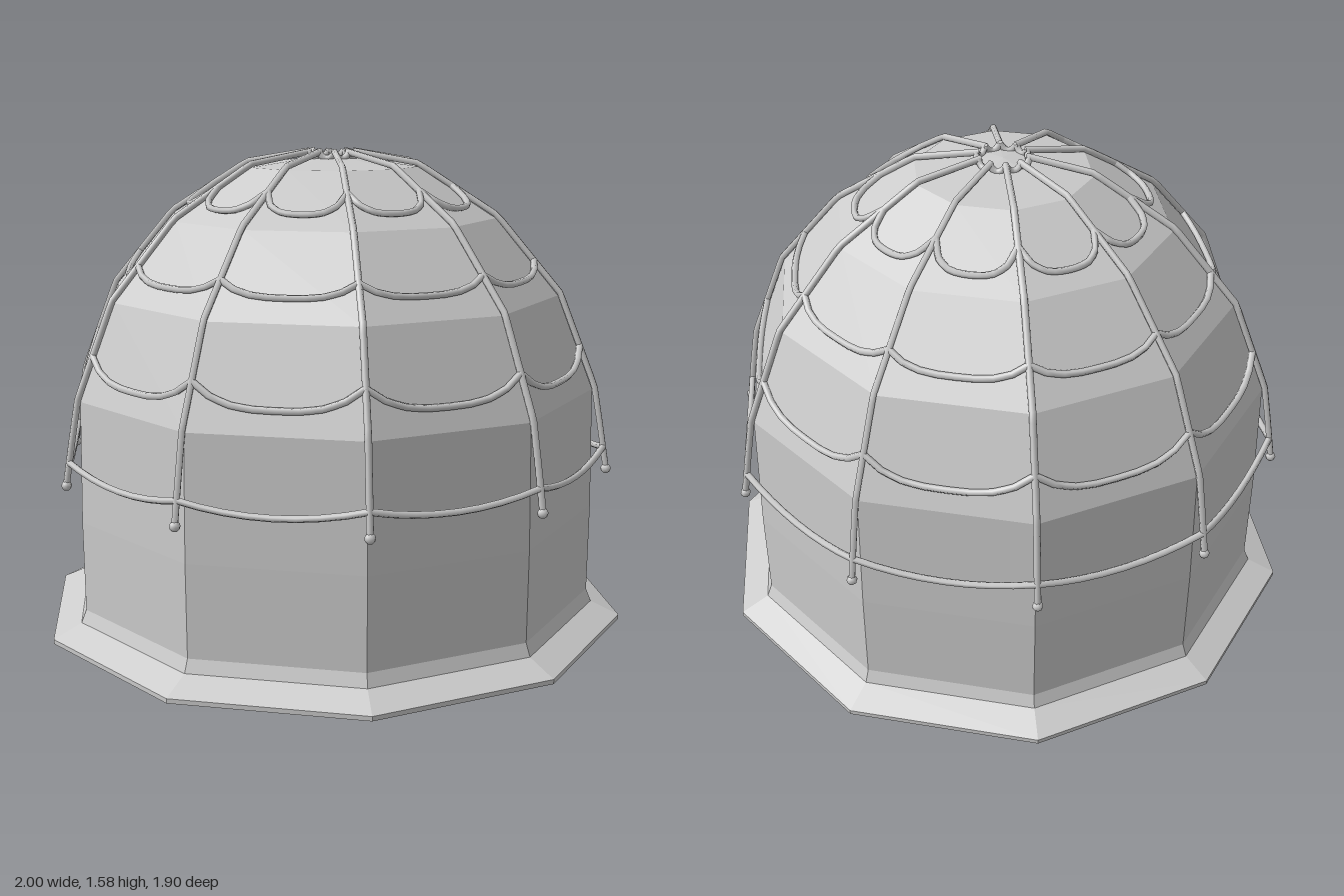
import * as THREE from 'three';

const SIDES = 10;
const STEP = (Math.PI * 2) / SIDES;
const material = new THREE.MeshStandardMaterial({ color: 0xcccccc, flatShading: true, side: THREE.DoubleSide });
const ropeMaterial = new THREE.MeshStandardMaterial({ color: 0xcccccc });

// Rib path as [radius, height], from the crown down to the free end
const RIB = [[0.075, 1.574], [0.29, 1.537], [0.555, 1.37], [0.768, 1.118], [0.89, 0.81], [0.913, 0.68], [0.937, 0.535]];

function mesh(name, geometry, mat = ropeMaterial) {
  const m = new THREE.Mesh(geometry, mat);
  m.name = name;
  return m;
}

// Tube through straight pieces
function rope(name, points, radius, segments) {
  const path = new THREE.CurvePath();
  for (let i = 1; i < points.length; i++) path.add(new THREE.LineCurve3(points[i - 1], points[i]));
  return mesh(name, new THREE.TubeGeometry(path, segments, radius, 6));
}

// Radius of the rib path at a height
function ribRadius(y) {
  for (let i = 1; i < RIB.length; i++) {
    const [r0, y0] = RIB[i - 1];
    const [r1, y1] = RIB[i];
    if (y >= y1) return r0 + ((r1 - r0) * (y0 - y)) / (y0 - y1);
  }
  return RIB[RIB.length - 1][0];
}

// Rope hanging between two neighbouring ribs, lying on the facet
function swag(name, y, sag, power, fixedRadius) {
  const points = [];
  const a = new THREE.Vector3(1, 0, 0);
  const b = new THREE.Vector3(Math.cos(STEP), 0, Math.sin(STEP));
  for (let i = 0; i <= 8; i++) {
    const t = i / 8;
    const h = y - sag * (1 - Math.pow(Math.abs(2 * t - 1), power));
    const p = a.clone().lerp(b, t).multiplyScalar(fixedRadius ?? ribRadius(h));
    points.push(p.setY(h));
  }
  return rope(name, points, 0.011, 16);
}

export function createModel() {
  const model = new THREE.Group();
  model.name = 'ropedDome';

  // Ten-sided shell: dome, wall, flared brim, underside and inner skin
  const profile = [
    [0, 1.563], [0.29, 1.525], [0.55, 1.36], [0.76, 1.11], [0.882, 0.8], [0.89, 0.4], [0.888, 0.1],
    [0.905, 0.058], [1, 0.015], [1, 0], [0.885, 0],
    [0.865, 0.035], [0.868, 0.4], [0.862, 0.795], [0.742, 1.1], [0.538, 1.344], [0.283, 1.506], [0, 1.543],
  ].map(([r, y]) => new THREE.Vector2(r, y)).reverse();
  model.add(mesh('shell', new THREE.LatheGeometry(profile, SIDES, Math.PI / 2), material));

  for (let i = 0; i < SIDES; i++) {
    const section = new THREE.Group();
    section.name = 'netSection';
    section.rotation.y = i * STEP;

    // Rib with a knot at its free end
    section.add(rope('rib', RIB.map(([r, y]) => new THREE.Vector3(r, y, 0)), 0.011, 48));
    const knot = mesh('knot', new THREE.SphereGeometry(0.017, 8, 6));
    knot.position.set(0.937, 0.53, 0);
    section.add(knot);

    // Crown loop and four rows of hanging rope
    section.add(
      swag('crownLoop', 1.573, 0.022, 2, 0.085),
      swag('upperSwag', 1.465, 0.06, 3),
      swag('middleSwag', 1.225, 0.045, 3),
      swag('lowerSwag', 0.945, 0.072, 3),
      swag('bottomSwag', 0.605, 0.035, 2),
    );
    model.add(section);
  }
  return model;
}
